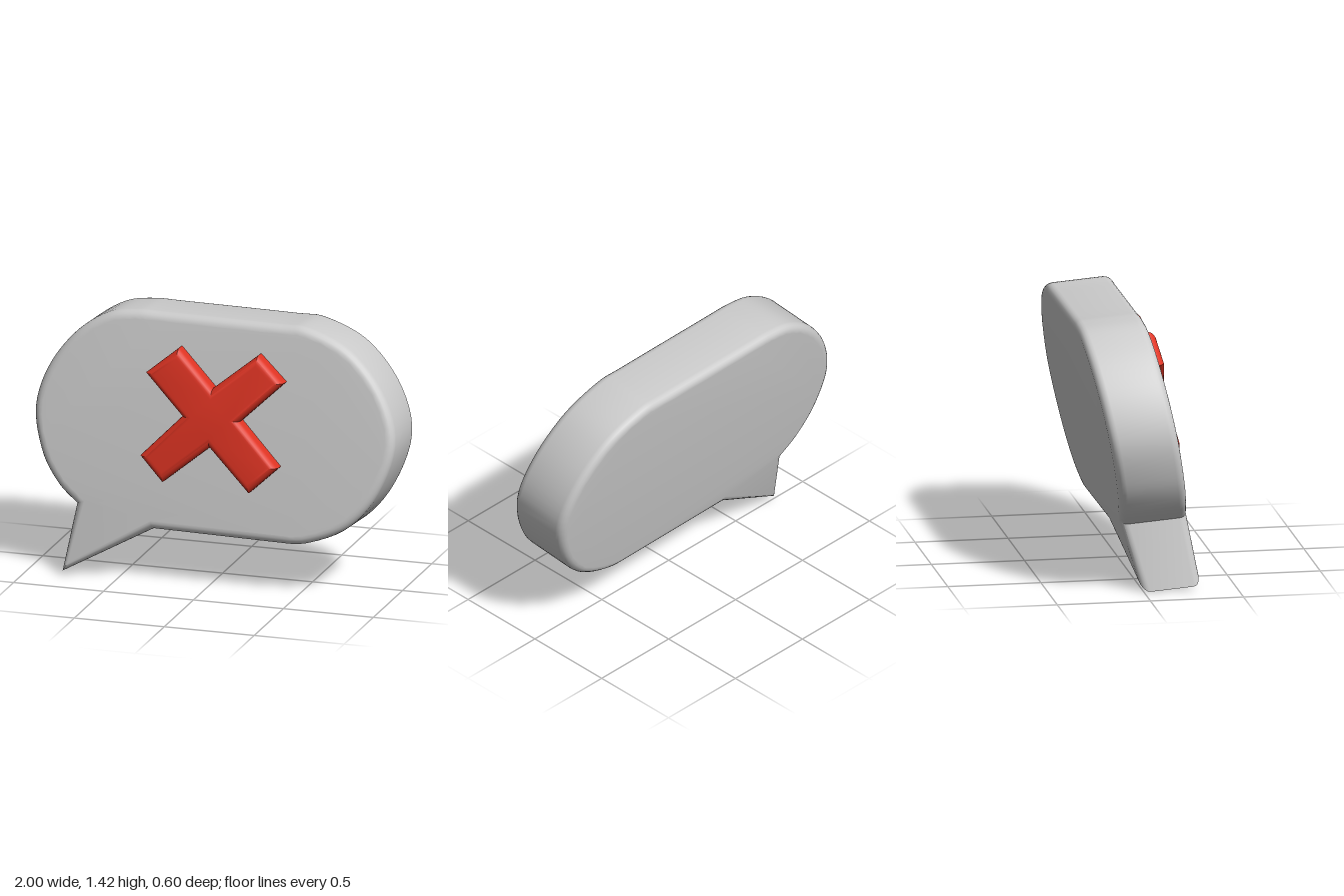
import * as THREE from 'three';
import { toCreasedNormals } from 'three/addons/utils/BufferGeometryUtils.js';

const vec = ([x, y]) => new THREE.Vector2(x, y);

// Leans a flat extrusion backwards; the tail gets slightly thinner towards its tip.
function lean(geometry) {
  const p = geometry.attributes.position;
  for (let i = 0; i < p.count; i++) {
    const y = p.getY(i);
    const t = THREE.MathUtils.clamp((0.3 - y) / 0.28, 0, 1);
    const z = p.getZ(i) * (1 - 0.14 * t) + 0.018 * t;
    p.setY(i, y + 0.08 * z);
    p.setZ(i, z - 0.19 * (y - 0.72));
  }
  return toCreasedNormals(geometry, 0.65);
}

// Extrudes a shape between two depths with rounded edges kept inside the outline.
function slab(name, shape, back, front, size, thickness, color) {
  const geometry = new THREE.ExtrudeGeometry(shape, {
    depth: front - back - 2 * thickness,
    bevelEnabled: true,
    bevelSize: size,
    bevelOffset: -size,
    bevelThickness: thickness,
    bevelSegments: 5,
    curveSegments: 5,
  });
  geometry.translate(0, 0, back + thickness);
  const mesh = new THREE.Mesh(lean(geometry), new THREE.MeshStandardMaterial({ color }));
  mesh.name = name;
  return mesh;
}

export function createModel() {
  const group = new THREE.Group();
  group.name = 'speechBubbleWithCross';

  // Bubble outline: flat bottom, round ends, pointed tail at the lower left
  const bubble = new THREE.Shape();
  bubble.moveTo(-0.31, 0.28);
  bubble.lineTo(0.38, 0.268);
  bubble.splineThru([
    [0.54, 0.278], [0.76, 0.375], [0.92, 0.57], [1, 0.84], [0.92, 1.09], [0.73, 1.3],
    [0.49, 1.402], [0.3, 1.41], [-0.3, 1.416], [-0.47, 1.416], [-0.63, 1.385],
    [-0.8, 1.27], [-0.94, 1.08], [-1, 0.86], [-0.95, 0.63], [-0.85, 0.47], [-0.74, 0.375],
  ].map(vec));
  bubble.lineTo(-0.8, 0.013);
  bubble.closePath();
  group.add(slab('bubble', bubble, -0.18, 0.18, 0.045, 0.045, 0xcccccc));

  // Raised red cross on the front
  const cross = new THREE.Shape([
    [0, 0.75], [0.23, 0.53], [0.385, 0.675], [0.16, 0.9], [0.39, 1.12], [0.24, 1.255],
    [0, 1.06], [-0.2, 1.255], [-0.375, 1.11], [-0.16, 0.9], [-0.38, 0.675], [-0.25, 0.545],
  ].map(vec));
  group.add(slab('cross', cross, 0.08, 0.265, 0.04, 0.045, 0xdd3322));

  return group;
}
